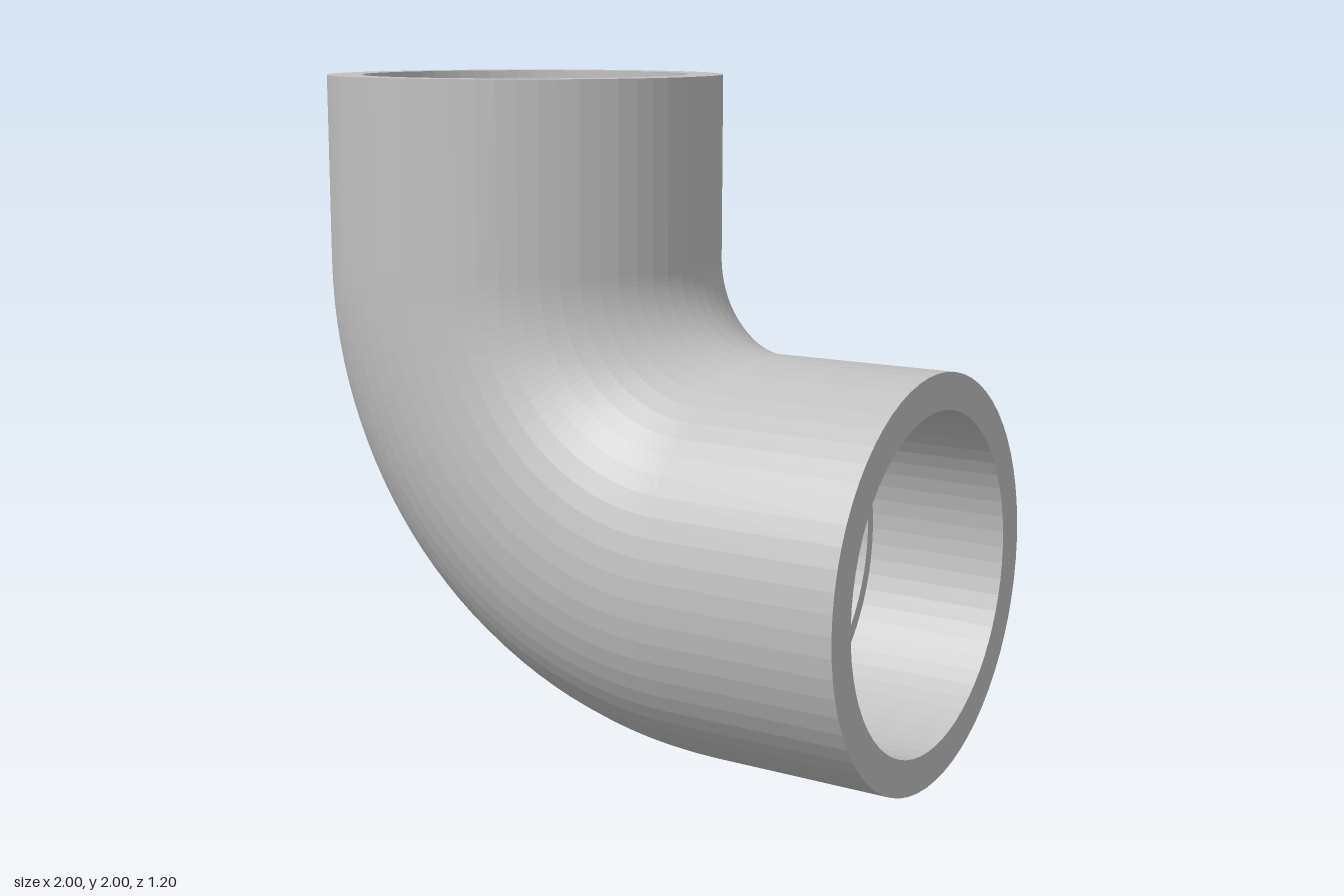
import * as THREE from 'three';

const SIDES = 64, BEND_STEPS = 32;
const BEND_CENTRE = new THREE.Vector3(0.44, 1.44, 0), BEND_RADIUS = 0.838;
const OUTER = 0.602, SOCKET = 0.495, BORE = 0.461;
const END = 0.56, STEP = 0.125; // distances beyond the bend along each arm

// Ring across the pipe: bend angle a, distance s along the arm, radius r,
// and an optional shift towards the inside of the bend
const ring = (a, s, r, shift = 0) => ({ a, s, r, shift });

// Joins successive rings with quads; faces point outward along the flow direction
function sweep(name, rings, material) {
  const pos = [], idx = [];
  for (const { a, s, r, shift } of rings) {
    const u = new THREE.Vector3(-Math.cos(a), -Math.sin(a), 0);
    const t = new THREE.Vector3(Math.sin(a), -Math.cos(a), 0);
    const c = BEND_CENTRE.clone().addScaledVector(u, BEND_RADIUS - shift).addScaledVector(t, s);
    for (let j = 0; j < SIDES; j++) {
      const p = (j / SIDES) * Math.PI * 2;
      const v = c.clone().addScaledVector(u, r * Math.cos(p));
      pos.push(v.x, v.y, r * Math.sin(p));
    }
  }
  for (let i = 0; i < rings.length - 1; i++) {
    for (let j = 0; j < SIDES; j++) {
      const k = (j + 1) % SIDES;
      const A = i * SIDES + j, B = A + SIDES, C = i * SIDES + k, D = C + SIDES;
      idx.push(A, B, C, C, B, D);
    }
  }
  const geo = new THREE.BufferGeometry();
  geo.setAttribute('position', new THREE.Float32BufferAttribute(pos, 3));
  geo.setIndex(idx);
  geo.computeVertexNormals();
  const mesh = new THREE.Mesh(geo, material);
  mesh.name = name;
  return mesh;
}

export function createModel() {
  const grey = new THREE.MeshStandardMaterial({ color: 0xc0c0c0, flatShading: true });
  grey.name = 'plastic grey';
  const group = new THREE.Group();
  group.name = 'pipeElbow';
  const Q = Math.PI / 2;
  const bend = (r) => Array.from({ length: BEND_STEPS + 1 }, (_, i) => ring((i / BEND_STEPS) * Q, 0, r));

  // Outer wall: upright arm, quarter bend, horizontal arm
  group.add(sweep('outerShell', [ring(0, -END, OUTER), ...bend(OUTER), ring(Q, END, OUTER)], grey));

  // Inner passage, run backwards so that it faces inward
  const edge = 0.008;
  group.add(sweep('innerBore', [
    ring(Q, STEP, BORE, edge), ...bend(BORE).reverse(), ring(0, -STEP, BORE, edge),
  ], grey));

  // Each mouth: flat rim, wider socket and the stop ledge at its bottom
  for (const [label, a, d] of [['top', 0, -1], ['side', Q, 1]]) {
    const parts = {
      Rim: [ring(a, d * END, OUTER), ring(a, d * END, SOCKET)],
      Socket: [ring(a, d * END, SOCKET), ring(a, d * STEP, SOCKET)],
      Ledge: [ring(a, d * STEP, SOCKET), ring(a, d * STEP, BORE, edge)],
    };
    for (const [part, rings] of Object.entries(parts)) {
      group.add(sweep(label + part, d > 0 ? rings : rings.reverse(), grey));
    }
  }
  return group;
}
